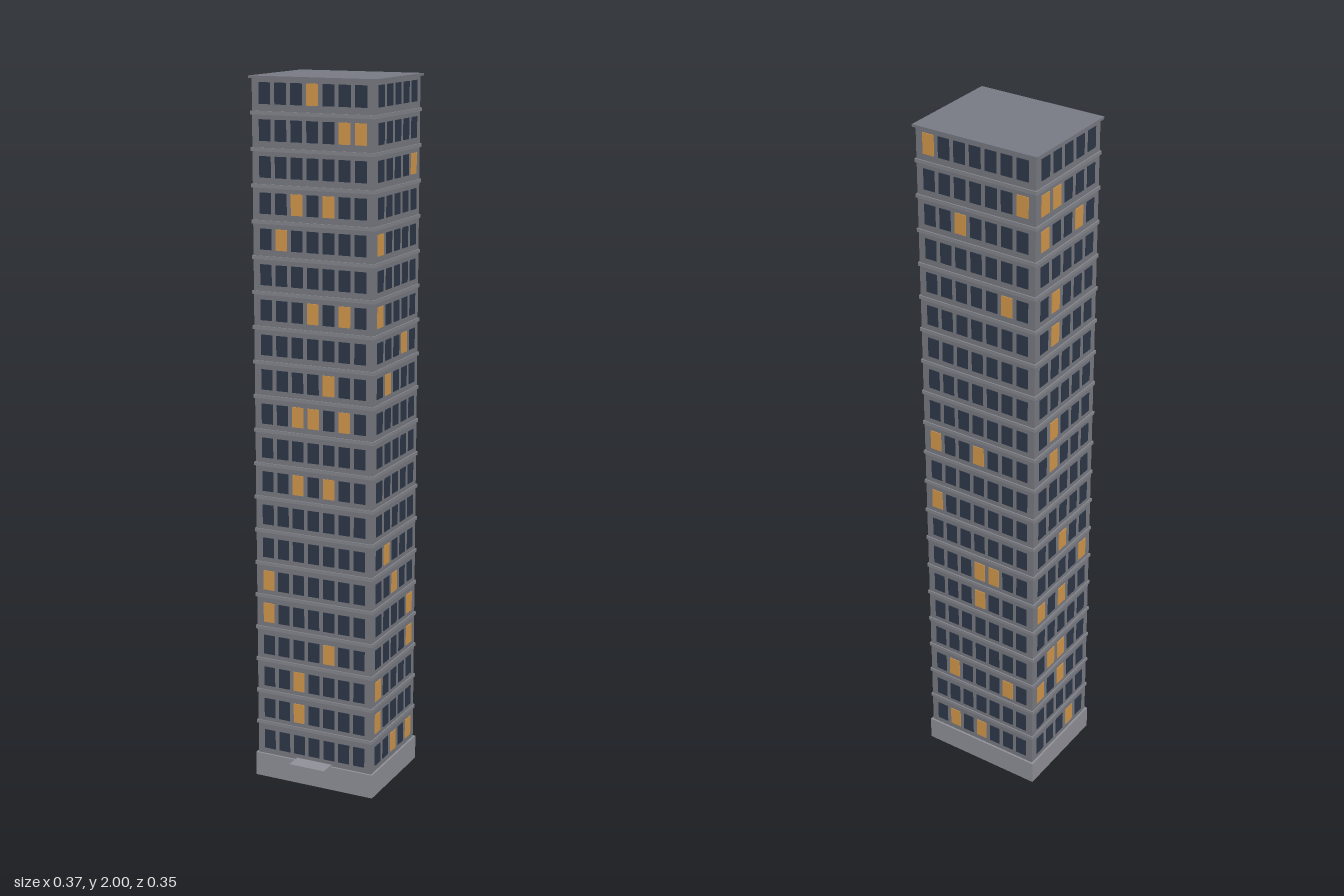
import * as THREE from 'three';

const FLOORS = 20, BASE = 0.07, FLOOR_H = 0.0965, CZ = -0.0215;
const W = 0.358, D = 0.295; // tower shaft

// Lit windows per face as [row from the top, column from the viewer's left]
const LIT = {
  front: [[0, 3], [1, 5], [1, 6], [3, 2], [3, 4], [4, 1], [6, 3], [6, 5], [8, 4], [9, 2], [9, 3], [9, 5],
    [11, 2], [11, 4], [14, 0], [15, 0], [16, 4], [17, 2], [18, 2]],
  left: [[2, 4], [4, 0], [6, 0], [7, 3], [8, 1], [13, 1], [14, 2], [15, 4], [16, 4], [17, 0], [18, 0], [19, 2], [19, 4]],
  back: [[0, 0], [1, 6], [2, 2], [4, 5], [9, 0], [9, 3], [11, 0], [13, 3], [13, 4], [14, 3], [17, 1], [17, 5], [19, 1], [19, 3]],
  right: [[1, 0], [1, 1], [2, 0], [2, 3], [4, 1], [5, 1], [8, 1], [9, 1], [12, 2], [13, 4], [14, 0], [14, 2],
    [16, 1], [16, 2], [17, 0], [17, 2], [19, 3]],
};

export function createModel() {
  const model = new THREE.Group();
  model.name = 'towerBlock';
  const mat = (color) => new THREE.MeshStandardMaterial({ color });
  const wall = mat(0x7b7d85), ledge = mat(0x868890), stone = mat(0x92939a);
  const roofMat = mat(0x7a7c86), glass = mat(0x2f394b), glow = mat(0xd69a4c);

  // Box standing on height y
  const box = (name, w, h, d, y, z, material) => {
    const mesh = new THREE.Mesh(new THREE.BoxGeometry(w, h, d), material);
    mesh.name = name;
    mesh.position.set(0, y + h / 2, z);
    model.add(mesh);
    return mesh;
  };

  box('base', 0.37, BASE, 0.307, 0, CZ, stone);
  box('shaft', W, FLOORS * FLOOR_H - 0.004, D, BASE, CZ, wall);
  box('roof', 0.372, 0.007, 0.307, 1.993, CZ, roofMat);
  box('entranceCanopy', 0.11, 0.005, 0.05, 0.07, 0.15, stone);

  // Thin ledge at every floor line
  for (let i = 1; i < FLOORS; i++) {
    box('floorLedge', W + 0.007, 0.01, D + 0.007, BASE + i * FLOOR_H - 0.005, CZ, ledge);
  }

  // Window grid of one face, turned about the tower's axis
  const addFace = (name, angle, columns, pitch, width, offset) => {
    const face = new THREE.Group();
    face.name = name + 'Windows';
    face.position.z = CZ;
    face.rotation.y = angle;
    const pane = new THREE.BoxGeometry(width, 0.057, 0.004);
    const lit = new Set(LIT[name].map(([r, c]) => r * columns + c));
    for (let r = 0; r < FLOORS; r++) {
      for (let c = 0; c < columns; c++) {
        const on = lit.has(r * columns + c);
        const mesh = new THREE.Mesh(pane, on ? glow : glass);
        mesh.name = on ? 'litWindow' : 'window';
        mesh.position.set((c - (columns - 1) / 2) * pitch, 1.955 - r * 0.0968, offset);
        face.add(mesh);
      }
    }
    model.add(face);
  };
  addFace('front', 0, 7, 0.047, 0.034, D / 2);
  addFace('left', Math.PI / 2, 5, 0.053, 0.036, W / 2);
  addFace('back', Math.PI, 7, 0.047, 0.034, D / 2);
  addFace('right', -Math.PI / 2, 5, 0.053, 0.036, W / 2);

  return model;
}
